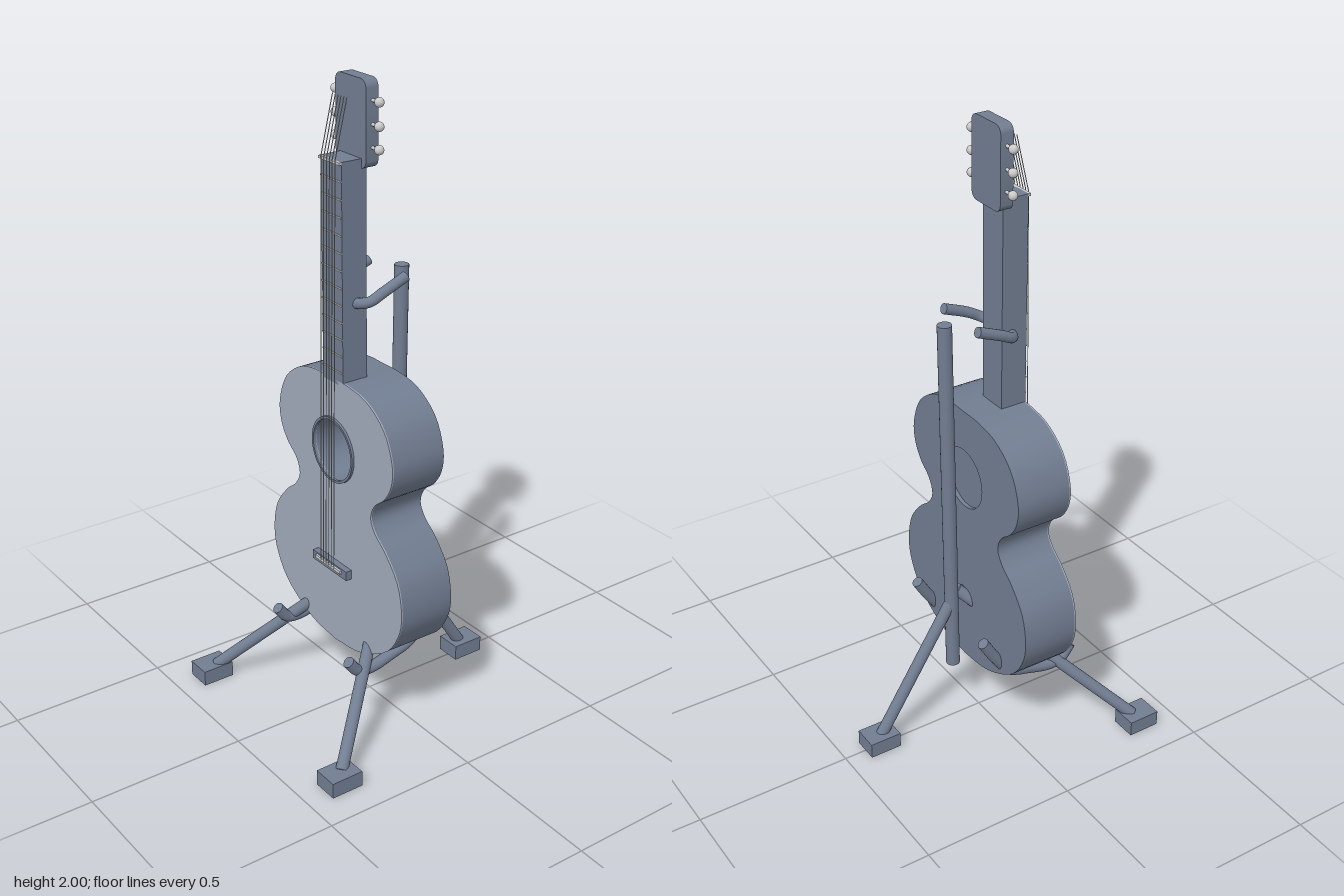
import * as THREE from 'three';
import { toCreasedNormals } from 'three/addons/utils/BufferGeometryUtils.js';

const slate = new THREE.MeshStandardMaterial({ color: 0x717d91 });
const pale = new THREE.MeshStandardMaterial({ color: 0xa0aabb });
const grey = new THREE.MeshStandardMaterial({ color: 0xcccccc });
const V = (x, y, z) => new THREE.Vector3(x, y, z);

export function createModel() {
  const root = new THREE.Group();
  const guitar = new THREE.Group();
  const stand = new THREE.Group();
  guitar.name = 'guitar';
  stand.name = 'stand';
  root.add(guitar, stand);

  const add = (parent, name, material, geometry, x = 0, y = 0, z = 0) => {
    const mesh = new THREE.Mesh(geometry, material);
    mesh.name = name;
    mesh.position.set(x, y, z);
    parent.add(mesh);
    return mesh;
  };
  const box = (parent, name, material, w, h, d, x, y, z) =>
    add(parent, name, material, new THREE.BoxGeometry(w, h, d), x, y, z);
  // Straight round bar between two points
  const rod = (parent, name, material, a, b, r, sides = 20) => {
    const mesh = add(parent, name, material, new THREE.CylinderGeometry(r, r, a.distanceTo(b), sides));
    mesh.position.copy(a).lerp(b, 0.5);
    mesh.quaternion.setFromUnitVectors(V(0, 1, 0), b.clone().sub(a).normalize());
  };
  // Bent round bar with capped ends
  const bentRod = (parent, name, points, r) => {
    const curve = new THREE.CatmullRomCurve3(points);
    add(parent, name, slate, new THREE.TubeGeometry(curve, 40, r, 16));
    for (const t of [0, 1]) {
      const cap = add(parent, name + 'Cap', slate, new THREE.CircleGeometry(r, 16));
      cap.position.copy(curve.getPoint(t));
      cap.quaternion.setFromUnitVectors(V(0, 0, 1), curve.getTangent(t).multiplyScalar(t ? 1 : -1));
    }
  };
  const extrude = (shape, depth) => toCreasedNormals(
    new THREE.ExtrudeGeometry(shape, { depth, bevelEnabled: false, curveSegments: 20 }), 0.6);

  // Waisted body outline with round sound hole
  const half = [
    [0.13, 0.248], [0.26, 0.316], [0.322, 0.4], [0.338, 0.48], [0.318, 0.575], [0.26, 0.65],
    [0.208, 0.693], [0.185, 0.737], [0.203, 0.785], [0.25, 0.825], [0.283, 0.88],
    [0.288, 0.95], [0.25, 1.04], [0.17, 1.1], [0.08, 1.119],
  ].map(([x, y]) => new THREE.Vector2(x, y));
  const bottom = new THREE.Vector2(0, 0.231);
  const outline = new THREE.SplineCurve([
    bottom, ...half, new THREE.Vector2(0, 1.12),
    ...half.map((p) => new THREE.Vector2(-p.x, p.y)).reverse(), bottom.clone(),
  ]);
  const bodyShape = new THREE.Shape(outline.getPoints(120).slice(0, -1));
  const hole = new THREE.Path();
  hole.absarc(0, 0.89, 0.098, 0, Math.PI * 2, true);
  bodyShape.holes.push(hole);
  // Darker back and sides, pale soundboard in front
  add(guitar, 'body', slate, extrude(bodyShape, 0.18), 0, 0, -0.053);
  add(guitar, 'soundboard', pale, extrude(bodyShape, 0.005), 0, 0, 0.127);
  const back = add(guitar, 'soundHoleBack', slate, new THREE.CylinderGeometry(0.098, 0.098, 0.01, 40), 0, 0.89, -0.035);
  back.rotation.x = Math.PI / 2;

  // Raised ring around the sound hole
  const ring = new THREE.Shape();
  ring.absarc(0, 0, 0.104, 0, Math.PI * 2, false);
  const ringHole = new THREE.Path();
  ringHole.absarc(0, 0, 0.096, 0, Math.PI * 2, true);
  ring.holes.push(ringHole);
  add(guitar, 'rosette', slate, extrude(ring, 0.01), 0, 0.89, 0.13);

  // Neck, frets, nut and bridge
  box(guitar, 'neck', slate, 0.1, 0.67, 0.085, 0, 1.443, 0.0895);
  for (let i = 0; i < 12; i++)
    box(guitar, 'fret', grey, 0.098, 0.004, 0.004, 0, 1.15 + i * 0.052, 0.133);
  box(guitar, 'nut', grey, 0.1, 0.008, 0.012, 0, 1.774, 0.134);
  box(guitar, 'bridge', slate, 0.176, 0.03, 0.022, 0, 0.503, 0.142);
  box(guitar, 'saddle', grey, 0.13, 0.01, 0.01, 0, 0.508, 0.155);

  // Headstock with rounded corners
  const w = 0.072, y0 = 1.75, y1 = 2, r = 0.025;
  const head = new THREE.Shape();
  head.absarc(w - r, y0 + r, r, -Math.PI / 2, 0);
  head.absarc(w - r, y1 - r, r, 0, Math.PI / 2);
  head.absarc(r - w, y1 - r, r, Math.PI / 2, Math.PI);
  head.absarc(r - w, y0 + r, r, Math.PI, Math.PI * 1.5);
  add(guitar, 'headstock', slate, extrude(head, 0.042), 0, 0, 0.023);

  // Tuning pegs
  for (const s of [-1, 1])
    for (const y of [1.81, 1.875, 1.942]) {
      rod(guitar, 'pegShaft', grey, V(s * 0.06, y, 0.043), V(s * 0.1, y, 0.043), 0.005, 10);
      add(guitar, 'pegKnob', grey, new THREE.SphereGeometry(0.014, 16, 12), s * 0.103, y, 0.043);
    }

  // Six strings, bent at the nut
  for (let i = 0; i < 6; i++) {
    const x = (i - 2.5) * 0.0135;
    rod(guitar, 'string', grey, V(x, 0.508, 0.16), V(x, 1.78, 0.142), 0.0015, 6);
    rod(guitar, 'stringEnd', grey, V(x, 1.78, 0.142), V(x, 1.95, 0.101), 0.0015, 6);
  }

  // Stand post, legs and feet
  rod(stand, 'post', slate, V(0, 0.215, -0.098), V(0, 1.42, -0.116), 0.022);
  rod(stand, 'rearLeg', slate, V(0, 0.46, -0.1), V(0, 0.04, -0.367), 0.019);
  box(stand, 'rearFoot', slate, 0.083, 0.05, 0.105, 0, 0.025, -0.375);
  for (const s of [-1, 1]) {
    rod(stand, 'frontLeg', slate, V(0, 0.49, -0.08), V(s * 0.352, 0.04, 0.36), 0.019);
    box(stand, 'frontFoot', slate, 0.083, 0.05, 0.105, s * 0.36, 0.025, 0.373);
    // Cradle arm running under the body, turned up at the front
    bentRod(stand, 'cradleArm', [
      [0.415, -0.11], [0.335, -0.06], [0.275, -0.01], [0.25, 0.06], [0.231, 0.14], [0.238, 0.185], [0.28, 0.22],
    ].map(([y, z]) => V(s * 0.193, y, z)), 0.018);
  }

  // U-shaped neck hook
  const arm = [[0.09, 1.42, -0.062], [0.09, 1.387, 0.02], [0.082, 1.366, 0.06], [0.05, 1.357, 0.08]];
  bentRod(stand, 'neckHook', [
    ...arm.map(([x, y, z]) => V(-x, y, z)), V(0, 1.355, 0.085),
    ...arm.map(([x, y, z]) => V(x, y, z)).reverse(),
  ], 0.016);

  return root;
}
